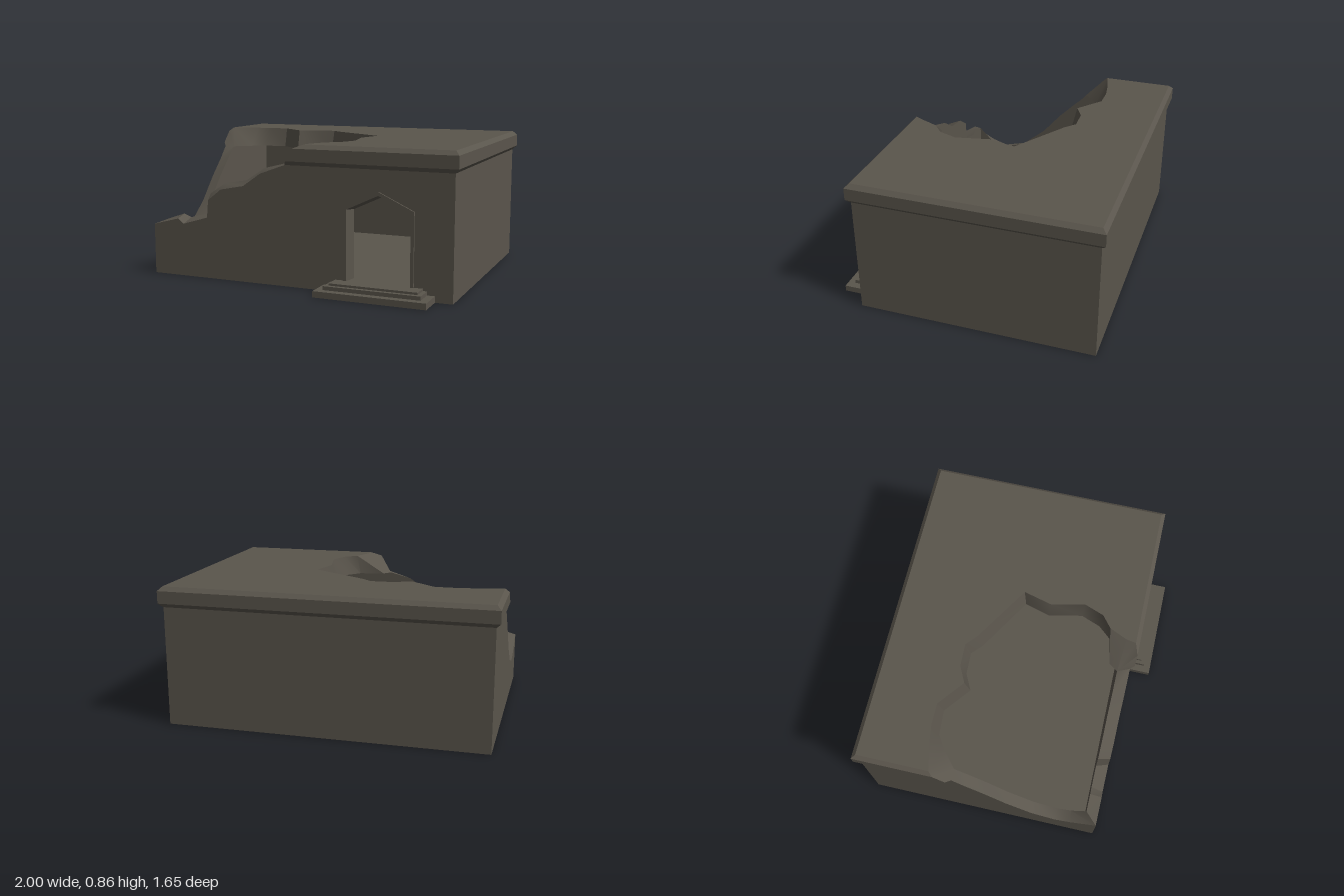
import * as THREE from 'three';
import { toCreasedNormals } from 'three/addons/utils/BufferGeometryUtils.js';

const stone = new THREE.MeshStandardMaterial({ color: 0x5a554c, side: THREE.DoubleSide });
stone.name = 'weathered stone';

// Outer and inner wall limits
const X = 0.975, ZF = 0.66, ZB = -0.805, EAVE = 0.73, TOP = 0.855;
const IX = 0.905, IZF = 0.585, IZB = -0.735, FLOOR = 0.07;

// Broken edge of the front wall: outer x, y, inner x, y
const frontBreak = [
  [-0.975, 0.315, -0.905, 0.345], [-0.80, 0.36, -0.80, 0.38], [-0.76, 0.33, -0.75, 0.36],
  [-0.59, 0.38, -0.62, 0.395], [-0.58, 0.49, -0.605, 0.52], [-0.49, 0.56, -0.50, 0.59],
  [-0.335, 0.59, -0.35, 0.615], [-0.22, 0.67, -0.23, 0.695], [-0.055, EAVE, -0.09, EAVE],
];
// Broken edge of the roof: top x, z, ceiling x, z
const roofBreak = [
  [0.07, 0.66, -0.09, 0.585], [0.08, 0.60, -0.05, 0.53], [0.13, 0.49, 0.11, 0.50],
  [0.205, 0.43, 0.18, 0.42], [0.25, 0.31, 0.225, 0.30], [0.205, 0.10, 0.18, 0.10],
  [0.25, -0.075, 0.225, -0.06], [-0.10, -0.29, -0.11, -0.26], [-0.17, -0.35, -0.175, -0.32],
  [-0.31, -0.345, -0.31, -0.315], [-0.41, -0.295, -0.41, -0.265], [-0.57, -0.42, -0.57, -0.39],
  [-0.70, -0.42, -0.72, -0.38], [-0.80, -0.405, -0.80, -0.33], [-0.975, -0.365, -0.905, -0.24],
];
// Broken edge of the left-hand wall: outer z, y, inner z, y
const sideBreak = [
  [-0.24, EAVE, -0.24, EAVE], [-0.17, 0.65, -0.16, 0.66], [-0.05, 0.53, -0.04, 0.54],
  [0.08, 0.38, 0.08, 0.40], [0.25, 0.24, 0.25, 0.26], [0.40, 0.20, 0.40, 0.22],
  [0.50, 0.23, 0.49, 0.25], [0.66, 0.315, 0.585, 0.345],
];
// Cornice profile: overhang, height, broken end on the front (x) and on the side (z)
const cornice = [
  [0, EAVE, -0.055, -0.24], [0.025, 0.755, -0.04, -0.27],
  [0.025, 0.83, 0.0, -0.34], [0, TOP, 0.07, -0.365],
];

// Surface through rows of points
function loft(rows, crease) {
  const n = rows[0].length, index = [];
  for (let r = 0; r < rows.length - 1; r++) {
    for (let i = 0; i < n - 1; i++) {
      const a = r * n + i, b = a + n;
      index.push(a, b, a + 1, b, b + 1, a + 1);
    }
  }
  const g = new THREE.BufferGeometry();
  g.setAttribute('position', new THREE.Float32BufferAttribute(rows.flat(2), 3));
  g.setIndex(index);
  return toCreasedNormals(g, crease);
}

// Flat polygon placed in space by a mapping, with an optional hole
function panel(points, place, hole) {
  const shape = new THREE.Shape(points.map(p => new THREE.Vector2(...p)));
  if (hole) shape.holes.push(new THREE.Path(hole.map(p => new THREE.Vector2(...p))));
  const g = new THREE.ShapeGeometry(shape);
  const pos = g.attributes.position;
  for (let i = 0; i < pos.count; i++) pos.setXYZ(i, ...place(pos.getX(i), pos.getY(i)));
  g.computeVertexNormals();
  return g;
}

// Pointed doorway outline, shrunk by an inset
const DOOR = 0.533;
const doorway = i => [
  [DOOR - 0.2135 + i, FLOOR], [DOOR - 0.2135 + i, 0.505 - 0.6 * i], [DOOR, 0.605 - 1.1 * i],
  [DOOR + 0.2135 - i, 0.505 - 0.6 * i], [DOOR + 0.2135 - i, FLOOR],
];

export function createModel() {
  const model = new THREE.Group();
  model.name = 'ruinedBuilding';
  const add = (name, geometry) => {
    const mesh = new THREE.Mesh(geometry, stone);
    mesh.name = name;
    model.add(mesh);
    return mesh;
  };
  const rect = (a, b, low, high) => [[a, low], [b, low], [b, high], [a, high]];

  // Outer and inner skins of the four walls
  const skins = [
    ['outer', 0, X, ZF, ZB, 0],
    ['inner', 2, IX, IZF, IZB, FLOOR],
  ];
  for (const [kind, k, x, zf, zb, low] of skins) {
    const edge = list => list.map(p => [p[k], p[k + 1]]);
    add(kind + 'FrontWall', panel(
      [...edge(frontBreak), [x, EAVE], [x, low], [-x, low]],
      (u, v) => [u, v, zf], doorway(k ? 0.035 : 0.02)));
    add(kind + 'LeftSideWall', panel(
      [...edge(sideBreak), [zf, low], [zb, low], [zb, EAVE]], (u, v) => [-x, v, u]));
    add(kind + 'RightSideWall', panel(rect(-zf, -zb, low, EAVE), (u, v) => [x, v, -u]));
    add(kind + 'BackWall', panel(rect(-x, x, low, EAVE), (u, v) => [-u, v, zb]));
    // Roof top and ceiling with the collapsed corner missing
    add(k ? 'ceiling' : 'roof', panel(
      [...edge(roofBreak), [-x, zb], [x, zb], [x, zf]].map(([u, v]) => [u, -v]),
      (u, v) => [u, k ? EAVE : TOP, -v]));
  }
  add('floor', panel(rect(-IX, IX, -IZF, -IZB), (u, v) => [u, FLOOR, -v]));

  // Bevelled cornice, running from one broken end round to the other
  add('cornice', loft([
    cornice.map(([d, y, x]) => [x, y, ZF + d]),
    cornice.map(([d, y]) => [X + d, y, ZF + d]),
    cornice.map(([d, y]) => [X + d, y, ZB - d]),
    cornice.map(([d, y]) => [-X - d, y, ZB - d]),
    cornice.map(([d, y, , z]) => [-X - d, y, z]),
  ].map(row => row.reverse()), 0.5));

  // Broken masonry between the outer and inner edges
  const rim = [
    ...frontBreak.map(([a, b, c, d]) => [[a, b, ZF], [c, d, IZF]]),
    ...cornice.slice(1, 3).map(([d, y, x]) => [[x, y, ZF + d], [-0.09, EAVE, IZF]]),
    ...roofBreak.map(([a, b, c, d]) => [[a, TOP, b], [c, EAVE, d]]),
    ...cornice.slice(1, 3).reverse().map(([d, y, , z]) => [[-X - d, y, z], [-IX, EAVE, -0.24]]),
    ...sideBreak.map(([a, b, c, d]) => [[-X, b, a], [-IX, d, c]]),
  ];
  add('brokenEdge', loft(rim, 0.6));

  // Raised door surround with splayed jambs
  const surround = [[0, ZF], [0, 0.67], [0.02, 0.67], [0.035, IZF]];
  add('doorSurround', loft(surround.map(([i, z]) => doorway(i).map(([x, y]) => [x, y, z])), 0.3));

  // Entrance steps: half width, bottom, top, front
  const steps = [[0.338, 0, 0.037, 0.825], [0.292, 0.037, 0.06, 0.78], [0.267, 0.06, 0.073, 0.755]];
  for (const [half, low, high, front] of steps) {
    const step = add('step', new THREE.BoxGeometry(half * 2, high - low, front - IZF));
    step.position.set(DOOR, (low + high) / 2, (front + IZF) / 2);
  }
  return model;
}
